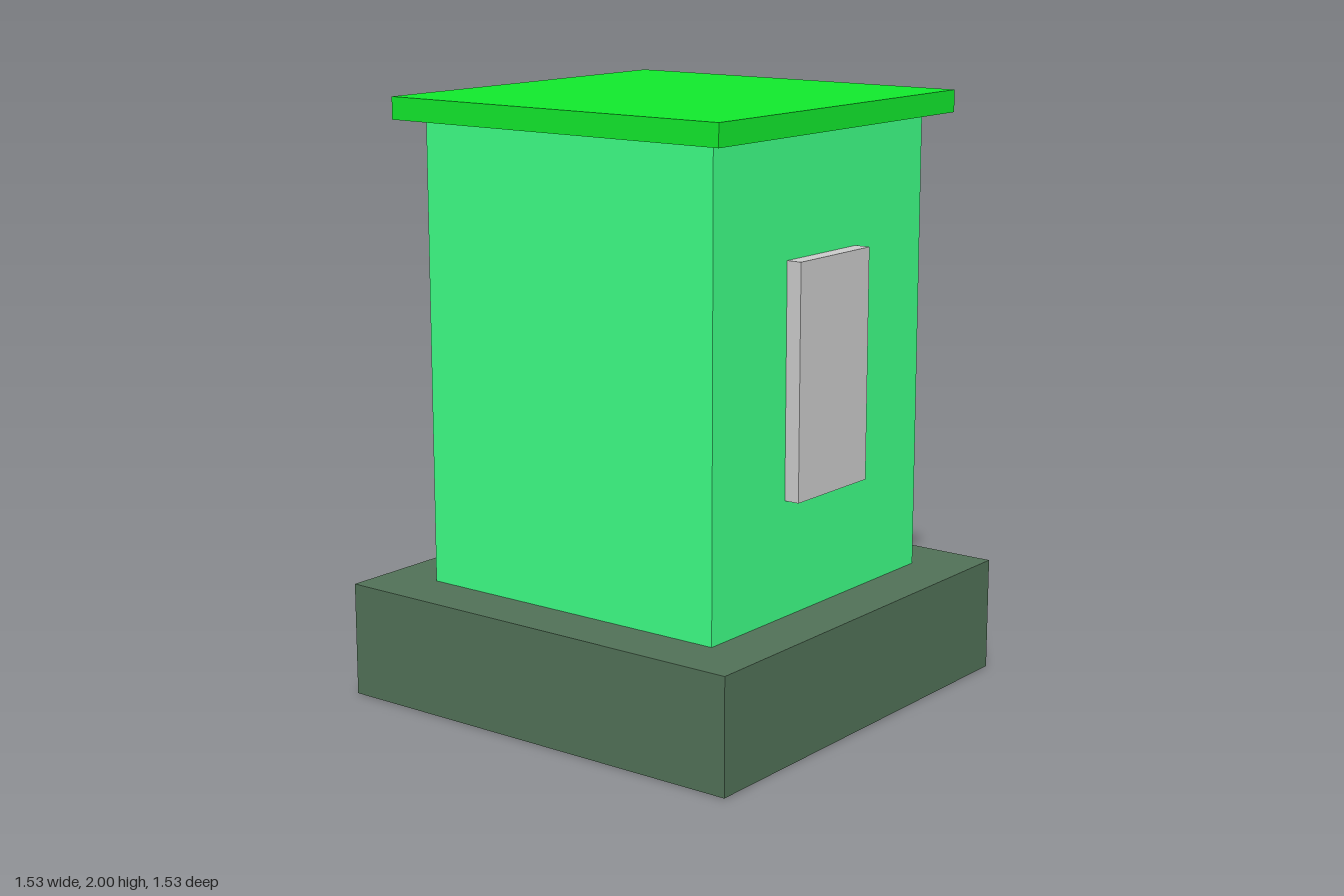
import * as THREE from 'three';

// Adds a named box resting at height y0
function addBox(group, name, color, [w, h, d], [x, y0, z]) {
  const mesh = new THREE.Mesh(
    new THREE.BoxGeometry(w, h, d),
    new THREE.MeshStandardMaterial({ color })
  );
  mesh.name = name;
  mesh.position.set(x, y0 + h / 2, z);
  group.add(mesh);
}

export function createModel() {
  const group = new THREE.Group();
  group.name = 'booth';

  // Wide plinth and the tall body standing on it
  addBox(group, 'base', 0x517157, [1.532, 0.383, 1.532], [0, 0, 0]);
  addBox(group, 'body', 0x3eff86, [1.149, 1.532, 1.149], [0, 0.383, 0]);

  // Thin overhanging roof, a hair above the body
  addBox(group, 'roof', 0x11e92d, [1.302, 0.074, 1.302], [0, 1.926, 0]);

  // Raised panel on the left wall
  addBox(group, 'sidePanel', 0xcccccc, [0.077, 0.766, 0.383], [0.588, 0.766, 0]);

  return group;
}
